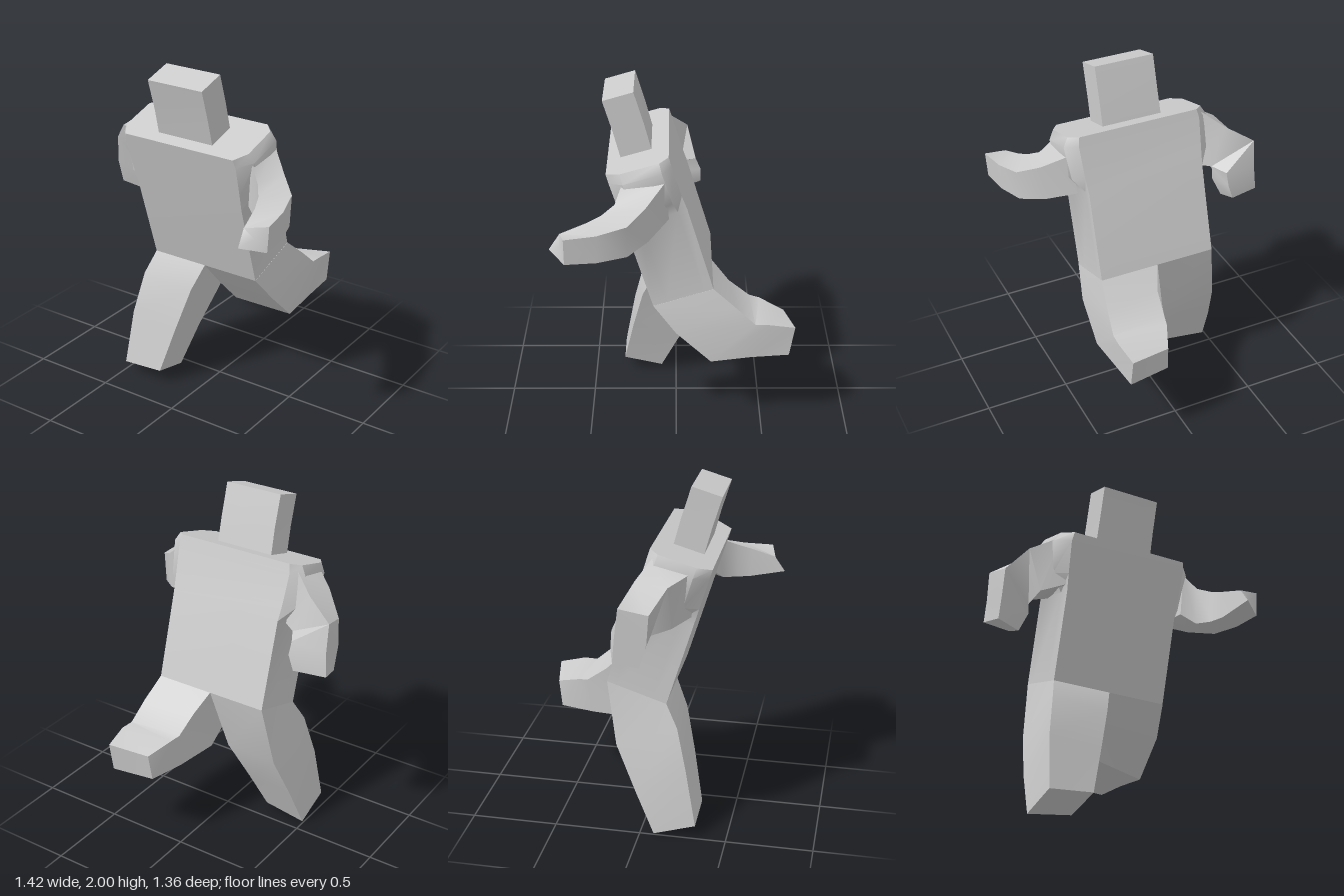
import * as THREE from 'three';
import { toCreasedNormals } from 'three/addons/utils/BufferGeometryUtils.js';

const material = new THREE.MeshStandardMaterial({ color: 0xcccccc, side: THREE.DoubleSide });

// Skin a list of cross-sections (each a loop of [x, y, z]) and cap both ends.
function loft(name, rings) {
  const n = rings[0].length;
  const tris = [];
  for (let r = 0; r < rings.length - 1; r++) {
    for (let i = 0; i < n; i++) {
      const j = (i + 1) % n;
      const [a, b, c, d] = [rings[r][i], rings[r][j], rings[r + 1][j], rings[r + 1][i]];
      tris.push([a, b, c], [a, c, d]);
    }
  }
  const cap = (ring, flip) => {
    const mid = [0, 1, 2].map((k) => ring.reduce((s, p) => s + p[k], 0) / n);
    ring.forEach((p, i) => {
      const q = ring[(i + 1) % n];
      tris.push(flip ? [mid, q, p] : [mid, p, q]);
    });
  };
  cap(rings[0], true);
  cap(rings[rings.length - 1], false);

  // Turn the faces outward whichever way the sections run.
  const volume = tris.reduce((s, [a, b, c]) => s + new THREE.Vector3(...a).dot(
    new THREE.Vector3(...b).cross(new THREE.Vector3(...c))), 0);
  if (volume < 0) tris.forEach((t) => t.reverse());

  const geometry = new THREE.BufferGeometry();
  geometry.setAttribute('position', new THREE.Float32BufferAttribute(tris.flat(2), 3));
  const mesh = new THREE.Mesh(toCreasedNormals(geometry, 0.65), material);
  mesh.name = name;
  return mesh;
}

// Torso section: leaning octagon between a front and a back line.
const CENTRE = -0.018;
function torsoRing([fz, fy], [bz, by], side, edge) {
  const at = (x, t) => [CENTRE + x, fy + (by - fy) * t, fz + (bz - fz) * t];
  return [at(-edge, 0), at(edge, 0), at(side, 0.23), at(side, 0.85),
    at(edge, 1), at(-edge, 1), at(-side, 0.85), at(-side, 0.23)];
}

export function createModel() {
  const group = new THREE.Group();
  group.name = 'runningFigure';

  // Forward-leaning body, flaring at the shoulders
  group.add(loft('torso', [
    torsoRing([0.13, 0.78], [-0.21, 0.89], 0.352, 0.352),
    torsoRing([0.28, 1.27], [-0.06, 1.39], 0.353, 0.353),
    torsoRing([0.31, 1.37], [-0.03, 1.47], 0.42, 0.36),
    torsoRing([0.365, 1.55], [0.025, 1.65], 0.44, 0.37),
    torsoRing([0.38, 1.6], [0.04, 1.7], 0.41, 0.36),
  ]));

  // Block head tilted with the body
  const headRing = (x0, x1, fz, fy, bz, by) => [[x0, fy, fz], [x1, fy, fz], [x1, by, bz], [x0, by, bz]];
  group.add(loft('head', [
    headRing(-0.2, 0.16, 0.295, 1.58, 0.125, 1.63),
    headRing(-0.195, 0.16, 0.345, 1.77, 0.175, 1.82),
    headRing(-0.195, 0.16, 0.4, 1.95, 0.23, 2.0),
  ]));

  // Legs: front inner, front outer, back outer, back inner
  group.add(loft('rightLeg', [
    [[-0.018, 0.78, 0.13], [-0.37, 0.78, 0.13], [-0.37, 0.89, -0.21], [-0.018, 0.89, -0.21]],
    [[-0.07, 0.63, 0.2], [-0.41, 0.65, 0.2], [-0.42, 0.52, -0.15], [-0.09, 0.52, -0.13]],
    [[-0.14, 0.38, 0.26], [-0.455, 0.4, 0.26], [-0.465, 0.25, -0.03], [-0.17, 0.27, -0.02]],
    [[-0.22, 0.09, 0.32], [-0.48, 0.07, 0.32], [-0.49, 0, 0.08], [-0.23, 0.03, 0.09]],
  ]));
  group.add(loft('leftLeg', [
    [[-0.018, 0.78, 0.13], [0.335, 0.78, 0.13], [0.335, 0.89, -0.21], [-0.018, 0.89, -0.21]],
    [[0, 0.62, 0], [0.37, 0.62, 0], [0.36, 0.78, -0.34], [0.03, 0.78, -0.31]],
    [[0.03, 0.47, -0.13], [0.37, 0.43, -0.2], [0.375, 0.68, -0.45], [0.045, 0.69, -0.43]],
    [[0.06, 0.47, -0.4], [0.37, 0.46, -0.43], [0.38, 0.68, -0.53], [0.06, 0.68, -0.49]],
    [[0.11, 0.47, -0.61], [0.36, 0.47, -0.65], [0.36, 0.65, -0.68], [0.12, 0.63, -0.63]],
  ]));

  // Left arm reaches out and forward: top back, top front, bottom front, bottom back
  group.add(loft('leftArm', [
    [[0.4, 1.59, 0.05], [0.4, 1.57, 0.29], [0.38, 1.31, 0.28], [0.36, 1.34, 0.04]],
    [[0.53, 1.49, 0.16], [0.47, 1.48, 0.33], [0.46, 1.25, 0.32], [0.51, 1.28, 0.15]],
    [[0.64, 1.43, 0.26], [0.52, 1.44, 0.4], [0.51, 1.24, 0.4], [0.63, 1.25, 0.26]],
    [[0.685, 1.4, 0.42], [0.55, 1.41, 0.48], [0.54, 1.24, 0.48], [0.68, 1.24, 0.42]],
    [[0.71, 1.39, 0.59], [0.575, 1.36, 0.62], [0.58, 1.27, 0.68], [0.7, 1.24, 0.59]],
  ]));

  // Right arm bends down and back: back outer, front outer, front inner, back inner
  group.add(loft('rightArm', [
    [[-0.42, 1.66, 0.06], [-0.42, 1.6, 0.29], [-0.37, 1.32, 0.27], [-0.37, 1.34, 0.03]],
    [[-0.54, 1.57, -0.01], [-0.56, 1.55, 0.17], [-0.49, 1.29, 0.18], [-0.45, 1.34, -0.03]],
    [[-0.7, 1.47, -0.07], [-0.67, 1.43, 0.09], [-0.51, 1.25, 0.07], [-0.5, 1.33, -0.12]],
    [[-0.7, 1.3, -0.09], [-0.68, 1.27, 0.08], [-0.5, 1.2, 0.05], [-0.5, 1.26, -0.15]],
    [[-0.71, 1.16, -0.1], [-0.68, 1.13, 0.04], [-0.54, 1.1, 0.01], [-0.53, 1.17, -0.15]],
  ]));

  return group;
}
